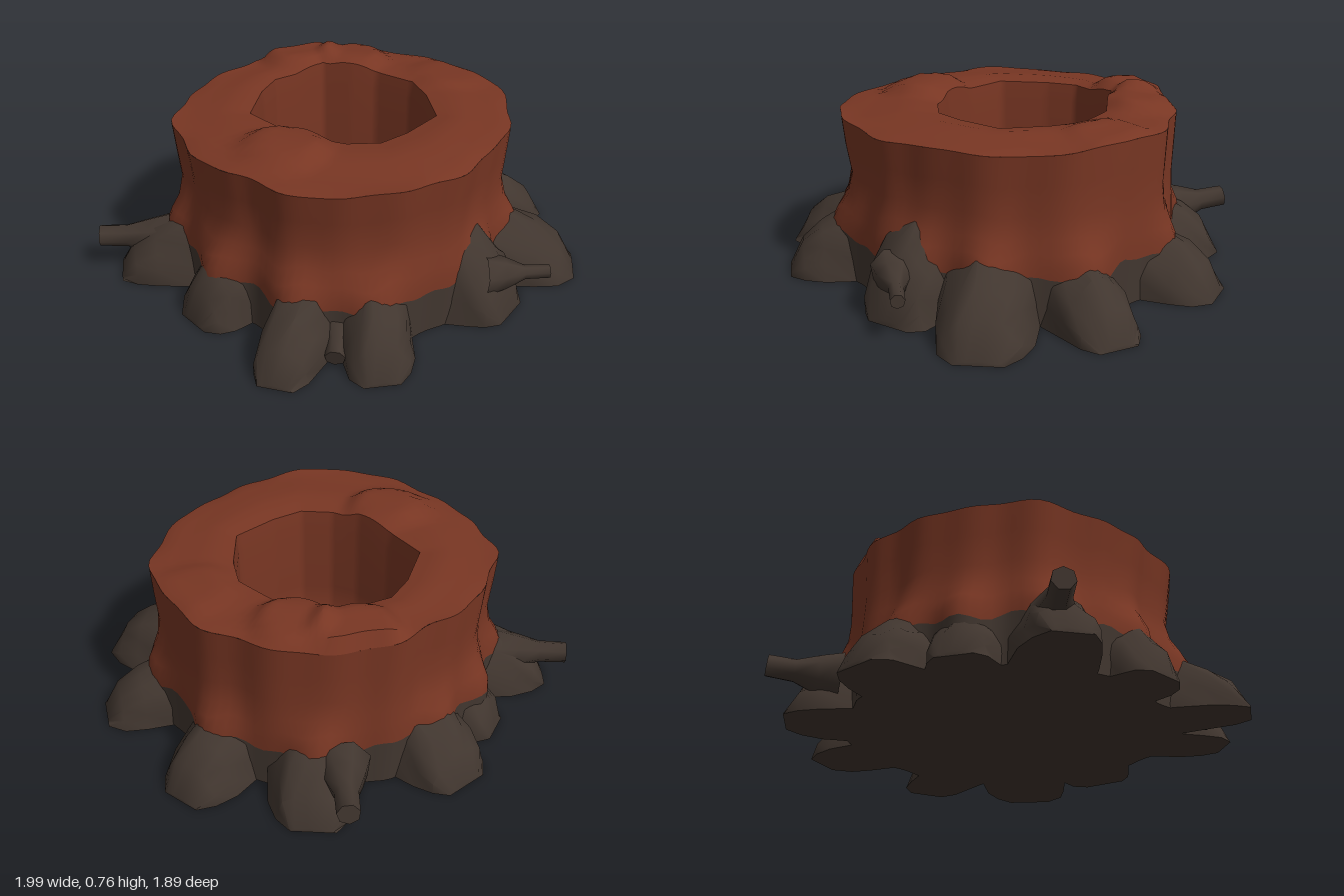
import * as THREE from 'three';
import { toCreasedNormals } from 'three/addons/utils/BufferGeometryUtils.js';

const bark = new THREE.MeshStandardMaterial({ color: 0x783623 });
bark.name = 'red brown bark';
const rootWood = new THREE.MeshStandardMaterial({ color: 0x41362f });
rootWood.name = 'dark root';

const TAU = Math.PI * 2, SEG = 120;

// Join closed rings of points into a surface
function loft(rings, crease) {
  const n = rings[0].length, pos = rings.flat(2), idx = [];
  for (let r = 0; r < rings.length - 1; r++) {
    for (let i = 0; i < n; i++) {
      const a = r * n + i, b = r * n + (i + 1) % n;
      idx.push(a, a + n, b, b, a + n, b + n);
    }
  }
  const g = new THREE.BufferGeometry();
  g.setAttribute('position', new THREE.Float32BufferAttribute(pos, 3));
  g.setIndex(idx);
  return toCreasedNormals(g, crease);
}

const ring = (fn) => Array.from({ length: SEG }, (_, i) => fn(i / SEG * TAU));
const smooth = (a, b, v) => THREE.MathUtils.smoothstep(v, a, b);

// Roots: tip x, tip z, half width, top height, sideways lean at the base
const ROOTS = [
  [0.99, -0.04, 0.17, 0.28, 0],
  [0.81, -0.52, 0.14, 0.27, 0.02],
  [0.31, -0.89, 0.15, 0.27, 0.02],
  [-0.22, -0.89, 0.16, 0.27, 0.02],
  [-0.72, -0.48, 0.16, 0.28, 0],
  [-0.77, -0.12, 0.13, 0.26, 0],
  [-0.90, 0.30, 0.14, 0.28, 0],
  [-0.50, 0.61, 0.14, 0.29, 0],
  [-0.10, 0.94, 0.125, 0.27, -0.03],
  [0.29, 0.86, 0.13, 0.28, -0.03],
  [0.74, 0.34, 0.16, 0.37, 0.04],
];

// Trunk radii by angle, and corners of the hollow's mouth
const OUTLINE = [0.67, 0.65, 0.65, 0.67, 0.67, 0.68, 0.64, 0.64, 0.66, 0.68,
  0.67, 0.66, 0.66, 0.67, 0.69, 0.69, 0.70, 0.70, 0.71, 0.70];
const MOUTH = [[0.38, -0.03], [0.28, 0.14], [0.19, 0.24], [0.06, 0.27], [-0.06, 0.25], [-0.22, 0.18],
  [-0.37, 0.07], [-0.37, -0.14], [-0.34, -0.27], [-0.24, -0.36], [-0.16, -0.43], [-0.03, -0.42],
  [0.08, -0.42], [0.25, -0.34], [0.32, -0.22]];

// Trunk radius with upright ridges and a flare over each root
function trunkRadius(a, y) {
  const t = a / TAU * OUTLINE.length, i = Math.floor(t);
  let r = THREE.MathUtils.lerp(OUTLINE[i], OUTLINE[(i + 1) % OUTLINE.length], smooth(0, 1, t - i));
  r += 0.008 * Math.sin(11 * a + 1) + 0.007 * Math.sin(17 * a + 2 + y);
  const waist = 0.022 + 0.014 * Math.sin(a);
  r -= waist * Math.sin(Math.PI * smooth(0.2, 0.66, y));
  for (const [x, z] of ROOTS) {
    let d = Math.abs(a - Math.atan2(z, x)) % TAU;
    d = Math.min(d, TAU - d);
    r += 0.06 * Math.exp(-d * d / 0.02) * (1 - smooth(0.2, 0.38, y));
  }
  return r;
}

const edgeY = (a) => 0.185 + 0.012 * Math.sin(13 * a) + 0.01 * Math.sin(23 * a + 1);
const rimY = (a) => 0.664 + 0.006 * Math.sin(3 * a + 4) + 0.006 * Math.sin(7 * a);

// Cut top, rounded off towards the rim and the front, with raised patches
function topY(x, z) {
  const lump = (cx, cz, size, h) => h * (1 - smooth(size * 0.55, size, Math.hypot(x - cx, z - cz)));
  const base = 0.69 - 0.02 * Math.max(smooth(0.35, 0.58, z), smooth(0.42, 0.66, Math.hypot(x, z)));
  return base + lump(-0.16, 0.36, 0.2, 0.04)
    + lump(-0.28, -0.53, 0.2, 0.045) + lump(-0.04, -0.54, 0.18, 0.04) + lump(0.4, -0.45, 0.2, 0.018);
}

const trunkPoint = (a, y) => {
  const r = trunkRadius(a, y);
  return [r * Math.cos(a), y, r * Math.sin(a)];
};

// Point on the straight-sided mouth, drawn in towards its centre by k
function holePoint(a, k, y) {
  const t = a / TAU * MOUTH.length, i = Math.floor(t), f = t - i;
  const p = MOUTH[i], q = MOUTH[(i + 1) % MOUTH.length];
  const x = p[0] + (q[0] - p[0]) * f, z = p[1] + (q[1] - p[1]) * f;
  return [x * k, y, -0.08 + (z + 0.08) * k];
}

function rootGeometry([tx, tz, w, h, lean]) {
  const len = Math.hypot(tx, tz), dx = tx / len, dz = tz / len;
  // along, width, height
  const steps = [[0, 1.25, 1.15], [0.38, 1.14, 0.98], [0.66, 1.04, 0.76], [0.86, 0.88, 0.5], [1, 0.55, 0.06], [1, 0, 0]];
  const rings = steps.map(([t, kw, kh], s) => {
    const d = 0.5 + (len - 0.5) * t, side = lean * (1 - t);
    return Array.from({ length: 10 }, (_, i) => {
      const p = i / 9 * Math.PI;
      const bump = 1 + 0.05 * Math.sin(i * 2.3 + s * 1.7 + tx * 9);
      const o = side + w * kw * Math.cos(p) * bump;
      return [dx * d - dz * o, h * kh * Math.max(Math.sin(p), 0) * bump, dz * d + dx * o];
    });
  });
  return loft(rings, 0.9);
}

// Broken twig that spreads into its root
function twig(from, to, r0, r1) {
  const a = new THREE.Vector3(...from), dir = new THREE.Vector3(...to).sub(a), len = dir.length();
  const profile = [[r0, 0], [r0 * 0.75, 0.3], [r1 * 1.05, 0.62], [r1, 1], [0, 1]]
    .map(([r, t]) => new THREE.Vector2(r, t * len));
  const m = new THREE.Mesh(toCreasedNormals(new THREE.LatheGeometry(profile, 7), 1), rootWood);
  m.position.copy(a);
  m.quaternion.setFromUnitVectors(new THREE.Vector3(0, 1, 0), dir.normalize());
  return m;
}

export function createModel() {
  const group = new THREE.Group();
  group.name = 'treeStump';
  const add = (name, object) => { object.name = name; group.add(object); };

  // Trunk wall from the root line up to the rim
  const wall = [0, 0.1, 0.2, 0.32, 0.5, 0.75, 1].map((t) =>
    ring((a) => trunkPoint(a, edgeY(a) + (rimY(a) - edgeY(a)) * t)));
  add('trunkWall', new THREE.Mesh(loft(wall, 0.7), bark));

  // Cut top from the rim in to the hollow, each ring matched to the mouth by direction
  const top = [0, 0.12, 0.25, 0.4, 0.55, 0.7, 0.85, 1].map((t) => ring((a) => {
    const i = holePoint(a, 1, 0), b = (Math.atan2(i[2] + 0.05, i[0]) + TAU) % TAU;
    const o = trunkPoint(b, rimY(b));
    const x = o[0] + (i[0] - o[0]) * t, z = o[2] + (i[2] - o[2]) * t;
    return [x, t === 0 ? o[1] : topY(x, z) - 0.015 * smooth(0.7, 1, t), z];
  }));
  add('cutTop', new THREE.Mesh(loft(top, 0.7), bark));

  // Hollow: upright walls shaded softly into a deep floor
  const lip = ring((a) => {
    const p = holePoint(a, 1, 0);
    p[1] = topY(p[0], p[2]) - 0.015;
    return p;
  });
  const pit = [[0.98, 0.6], [0.98, 0.3], [0.98, 0.04], [0, 0.03]]
    .map(([k, y]) => ring((a) => holePoint(a, k, y)));
  add('hollow', new THREE.Mesh(loft([lip, ...pit], 1.7), bark));

  // Dark foot between the roots, closed underneath
  const centre = ring(() => [0, 0, 0]);
  const foot = [0, 0.5, 1].map((t) => ring((a) => trunkPoint(a, edgeY(a) * t)));
  add('trunkFoot', new THREE.Mesh(loft([centre, ...foot], 0.7), rootWood));

  ROOTS.forEach((r, i) => add(`root${i + 1}`, new THREE.Mesh(rootGeometry(r), rootWood)));

  add('backTwig', twig([-0.27, 0.15, -0.66], [-0.37, 0.18, -0.93], 0.11, 0.045));
  add('sideTwig', twig([-0.7, 0.15, 0.22], [-0.99, 0.155, 0.28], 0.1, 0.045));
  add('frontTwig', twig([0.62, 0.18, 0.34], [0.875, 0.17, 0.265], 0.09, 0.028));
  add('smallRoot', twig([0.09, 0.1, 0.6], [0.1, 0.05, 0.79], 0.09, 0.04));

  return group;
}
